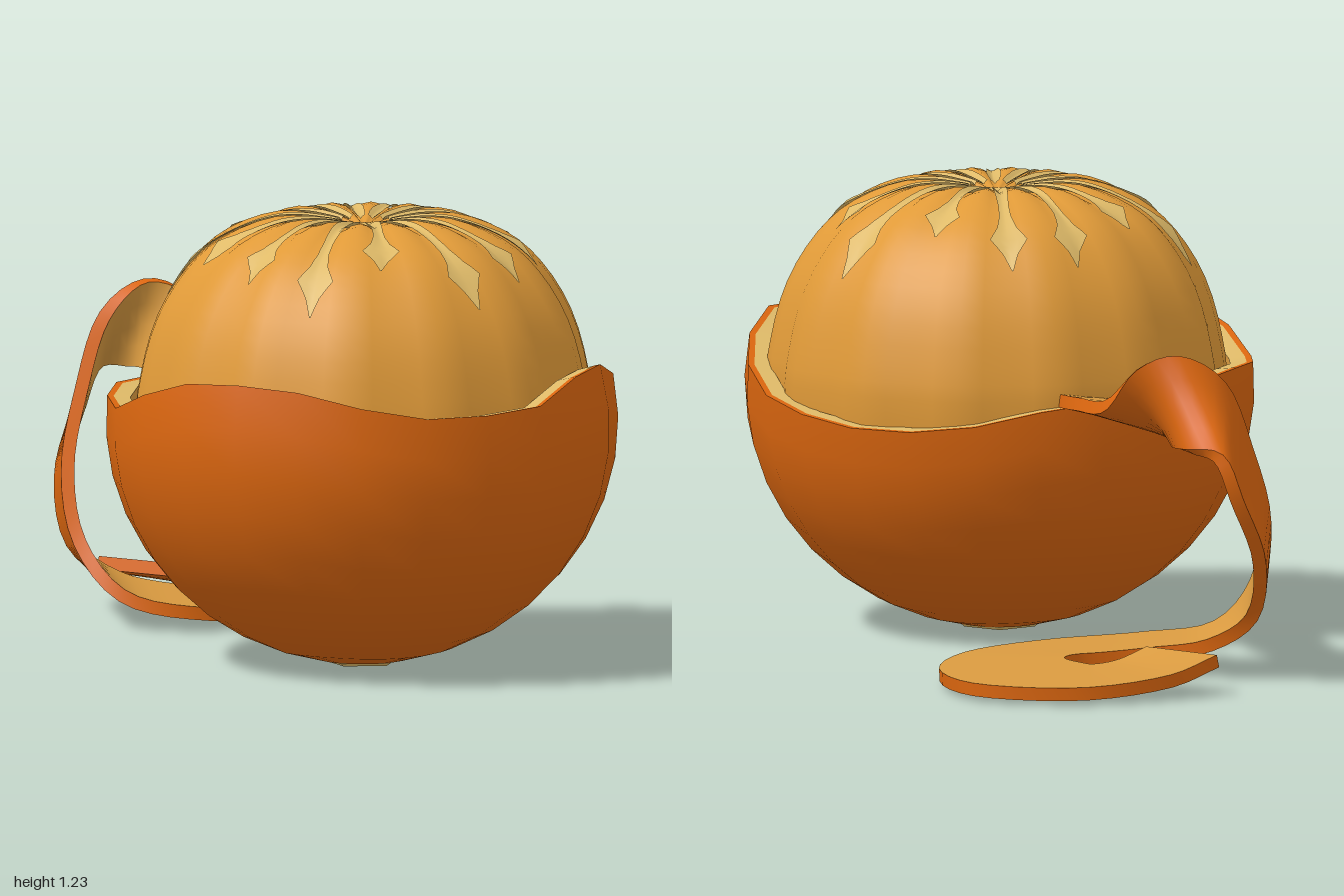
import * as THREE from 'three';
import { mergeVertices } from 'three/addons/utils/BufferGeometryUtils.js';

const paint = (name, color) => {
  const m = new THREE.MeshStandardMaterial({ color, side: THREE.DoubleSide });
  m.name = name;
  return m;
};
const V = (x, y, z) => new THREE.Vector3(x, y, z);
const TAU = Math.PI * 2;

// Smooth surface from fn(u, v); its front faces along du x dv
function surface(name, fn, nu, nv, material) {
  const pos = [], index = [];
  for (let i = 0; i <= nu; i++)
    for (let j = 0; j <= nv; j++) pos.push(...fn(i / nu, j / nv).toArray());
  for (let i = 0; i < nu; i++)
    for (let j = 0; j < nv; j++) {
      const a = i * (nv + 1) + j, b = a + nv + 1;
      index.push(a, b, b + 1, a, b + 1, a + 1);
    }
  let g = new THREE.BufferGeometry();
  g.setAttribute('position', new THREE.Float32BufferAttribute(pos, 3));
  g.setIndex(index);
  g = mergeVertices(g, 1e-5);
  g.computeVertexNormals();
  const mesh = new THREE.Mesh(g, material);
  mesh.name = name;
  return mesh;
}

// Torn rim height every 15 degrees, from +x towards +z
const RIM = [.83, .77, .76, .76, .79, .83, .84, .83, .78, .72, .73, .74,
  .73, .72, .70, .68, .64, .62, .62, .64, .67, .73, .79, .84];
const rimAt = (v) => {
  const f = v * 24, i = Math.floor(f);
  return THREE.MathUtils.lerp(RIM[i % 24], RIM[(i + 1) % 24], f - i);
};

// Point on the peel bowl: u from bottom to rim, v around, k scales towards the inside
function bowlPoint(u, v, k = 1) {
  const phi = u * Math.acos((.66 - rimAt(v)) / .66), a = v * TAU;
  const r = .695 * k * Math.sin(phi);
  return V(.295 + r * Math.cos(a), .66 - .66 * k * Math.cos(phi), .262 + r * Math.sin(a));
}

// Flesh profile (radius, height) from the dimple down
const profile = new THREE.CatmullRomCurve3([
  [0, 1.185], [.1, 1.205], [.24, 1.215], [.38, 1.165], [.48, 1.08], [.56, .95],
  [.605, .79], [.615, .64], [.56, .36], [.3, .11], [0, .07],
].map(([r, y]) => V(r, y, 0)), false, 'catmullrom');
const LOBES = 14;

function fleshPoint(t, a, lift = 0) {
  const p = profile.getPoint(t);
  const lobe = Math.abs(Math.sin(a * LOBES / 2)) - .6;
  const r = p.x * (1 + .035 * lobe);
  const y = p.y + .03 * lobe * Math.min(1, p.x / .15) * Math.max(0, 1 - t * 2);
  const q = V(r * Math.cos(a), y - .65, r * Math.sin(a));
  q.setLength(q.length() + lift);
  return q.add(V(.29, .65, .24));
}

function createFlesh(flesh, cream) {
  const g = new THREE.Group();
  g.name = 'segments';
  g.add(surface('fleshBall', (u, v) => fleshPoint(1 - u, v * TAU), 30, LOBES * 4, flesh));
  // White threads lying in the grooves, each flaring into a fork near its end
  const widths = [.002, .02, .05, .026, .016, .014, .016, .018, .02, .017, .012];
  for (let k = 0; k < LOBES; k++) {
    const end = .41 + .06 * Math.sin(k * 2.4), bend = .05 * Math.sin(k * 4.1);
    g.add(surface('thread', (u, v) => {
      const t = .075 + (end - .075) * (1 - u);
      const f = u * 10, i = Math.min(9, Math.floor(f));
      const w = THREE.MathUtils.lerp(widths[i], widths[i + 1], f - i);
      const a = k / LOBES * TAU + bend * (1 - u) * (1 - u) + (v - .5) * 2 * w / profile.getPoint(t).x;
      return fleshPoint(t, a, .007);
    }, 20, 4, cream));
  }
  g.add(surface('core', (u, v) => fleshPoint(.035 * (1 - u), v * TAU, .007), 2, 14, cream));
  return g;
}

function createBowl(peel, pith, cream) {
  const g = new THREE.Group();
  g.name = 'peelBowl';
  g.add(surface('bowlOutside', (u, v) => bowlPoint(u, v), 10, 24, peel));
  g.add(surface('bowlInside', (u, v) => bowlPoint(1 - u, v, .91), 10, 24, pith));
  const rim = (from, to) => (u, v) => bowlPoint(1, v, THREE.MathUtils.lerp(from, to, u));
  g.add(surface('rimOuterEdge', rim(1, .975), 1, 24, peel));
  g.add(surface('rimInnerEdge', rim(.975, .91), 1, 24, cream));
  const scar = new THREE.Mesh(new THREE.CylinderGeometry(.11, .1, .008, 5), cream);
  scar.name = 'bottomScar';
  scar.position.set(.295, .003, .262);
  g.add(scar);
  return g;
}

function createStrip(peel, pith) {
  const g = new THREE.Group();
  g.name = 'peelStrip';
  // The two edges of the ribbon: off the bowl, over a twist, down, and coiled on the ground
  const curve = (pts) => new THREE.CatmullRomCurve3(pts.map((p) => V(...p)), false, 'catmullrom');
  const edgeE = curve([
    [-.18, .70, -.13], [-.38, .73, -.32], [-.54, .75, -.41], [-.65, .86, -.41], [-.74, .89, -.34],
    [-.80, .80, -.23], [-.81, .62, -.13], [-.79, .42, -.02], [-.72, .23, .04], [-.57, .09, .06],
    [-.37, .05, 0], [-.20, .04, -.22], [-.14, .035, -.50], [-.25, .03, -.78], [-.50, .03, -.95],
    [-.77, .03, -.85], [-.91, .05, -.64], [-.95, .09, -.46]]);
  const edgeF = curve([
    [-.32, .67, .05], [-.48, .65, -.07], [-.63, .65, -.19], [-.71, .65, -.32], [-.82, .65, -.42],
    [-.94, .64, -.44], [-.98, .52, -.41], [-.98, .35, -.31], [-.90, .18, -.23], [-.76, .09, -.24],
    [-.60, .06, -.29], [-.51, .05, -.38], [-.47, .05, -.46], [-.49, .05, -.53], [-.57, .05, -.57],
    [-.62, .05, -.57], [-.66, .06, -.51], [-.70, .09, -.44]]);
  const mid = (t) => edgeE.getPoint(t).lerp(edgeF.getPoint(t), .5);
  // s runs across from edge F to edge E, h is the signed height through the thickness
  const at = (s, t, h) => {
    const e = edgeE.getPoint(t), f = edgeF.getPoint(t);
    const along = mid(Math.min(1, t + .008)).sub(mid(Math.max(0, t - .008)));
    const n = e.clone().sub(f).cross(along).normalize();
    return f.lerp(e, s).addScaledVector(n, h * .018);
  };
  const N = 72;
  g.add(surface('stripInside', (u, v) => at(u, v, 1), 4, N, pith));
  g.add(surface('stripOutside', (u, v) => at(1 - u, v, -1), 4, N, peel));
  g.add(surface('stripEdge', (u, v) => at(1, v, 1 - 2 * u), 1, N, peel));
  g.add(surface('stripEdge', (u, v) => at(0, v, 2 * u - 1), 1, N, peel));
  g.add(surface('stripEnd', (u, v) => at(u, 1, 1 - 2 * v), 4, 1, peel));
  g.add(surface('stripRoot', (u, v) => at(u, 0, 2 * v - 1), 4, 1, peel));
  return g;
}

export function createModel() {
  const peel = paint('orangePeel', 0xdb660f);
  const flesh = paint('fleshOrange', 0xe09a38);
  const pith = paint('pithTan', 0xd99a40);
  const cream = paint('threadCream', 0xdfba68);

  const model = new THREE.Group();
  model.name = 'peeledMandarin';
  model.add(createBowl(peel, pith, cream), createFlesh(flesh, cream), createStrip(peel, pith));
  return model;
}
